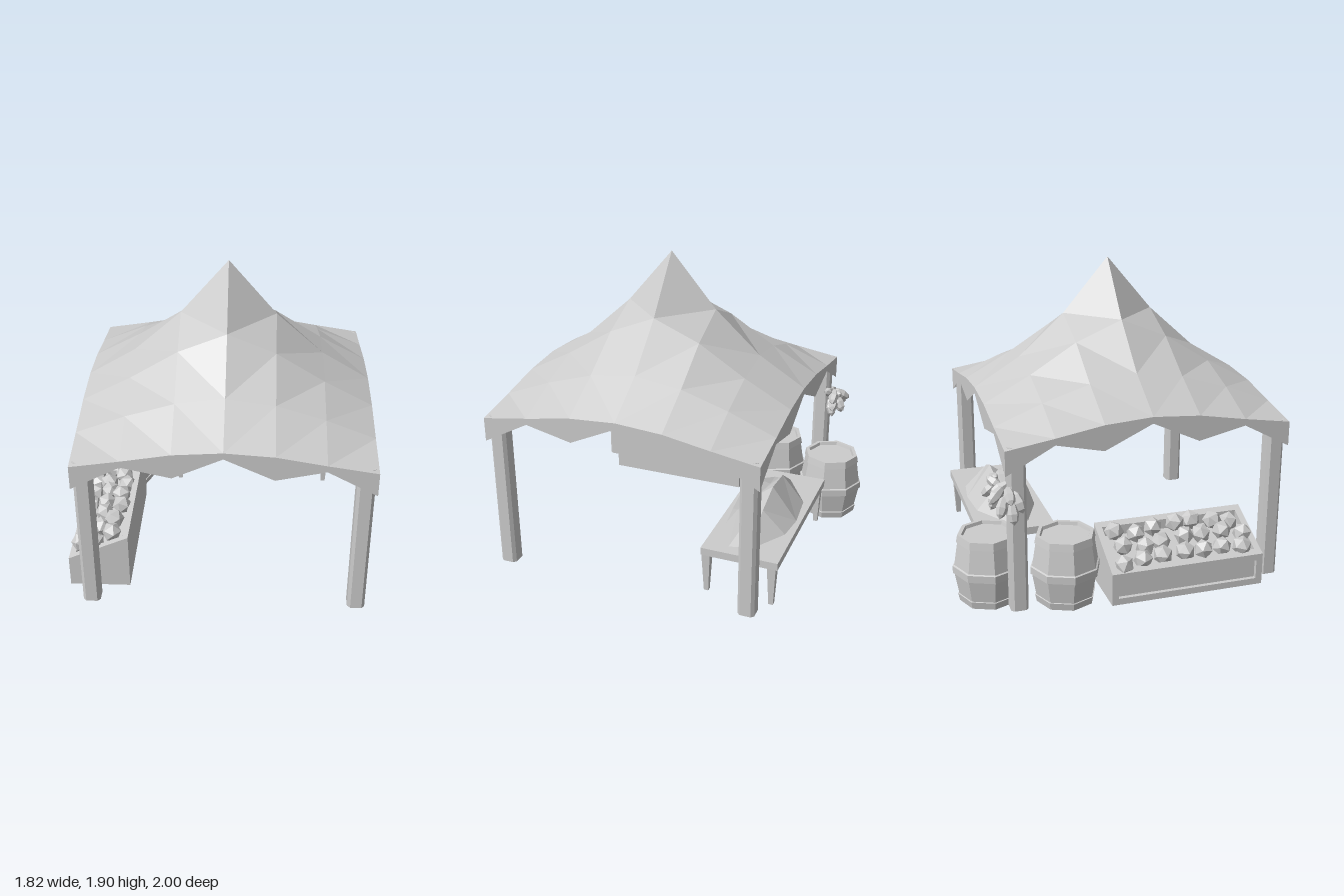
import * as THREE from 'three';

const mat = new THREE.MeshStandardMaterial({ color: 0xcccccc, flatShading: true });
const thin = new THREE.MeshStandardMaterial({ color: 0xcccccc, flatShading: true, side: THREE.DoubleSide });

function add(parent, name, geo, x = 0, y = 0, z = 0, material = mat) {
  const m = new THREE.Mesh(geo, material);
  m.name = name;
  m.position.set(x, y, z);
  parent.add(m);
  return m;
}

// Extrude a polygon; points are [x, y]
function prism(points, depth) {
  const s = new THREE.Shape(points.map(p => new THREE.Vector2(...p)));
  return new THREE.ExtrudeGeometry(s, { depth, bevelEnabled: false });
}

// Surface from rows of points, each quad split along its shorter diagonal
function sheet(rows) {
  const pos = [];
  const tri = (...ps) => ps.forEach(p => pos.push(p.x, p.y, p.z));
  for (let i = 0; i < rows.length - 1; i++) {
    for (let j = 0; j < rows[i].length - 1; j++) {
      const a = rows[i][j], b = rows[i + 1][j], c = rows[i + 1][j + 1], d = rows[i][j + 1];
      if (a.distanceTo(c) < b.distanceTo(d)) { tri(a, b, c); tri(a, c, d); }
      else { tri(a, b, d); tri(b, c, d); }
    }
  }
  const g = new THREE.BufferGeometry();
  g.setAttribute('position', new THREE.Float32BufferAttribute(pos, 3));
  g.computeVertexNormals();
  return g;
}

function seeded(seed) {
  return () => (seed = (seed * 16807) % 2147483647) / 2147483647;
}

const V = (x, y, z) => new THREE.Vector3(x, y, z);
const CX = 0.043, CZ = 0.136;

// Swept tent roof with a scalloped valance on all four sides
function buildCanopy(root) {
  const canopy = new THREE.Group();
  canopy.name = 'canopy';
  canopy.position.set(CX, 0, CZ);
  root.add(canopy);
  const step = 0.2883;
  // Heights by distance from the centre: [larger step][smaller step]
  const h = [[1.91], [1.57, 1.45], [1.31, 1.27, 1.18], [1.135, 1.115, 1.065, 1.02]];
  const drop = [0.04, 0.155, 0.04, 0.15];
  const k = [-3, -2, -1, 0, 1, 2, 3];
  const height = (i, j) => h[Math.max(Math.abs(i), Math.abs(j))][Math.min(Math.abs(i), Math.abs(j))];
  add(canopy, 'canopyRoof', sheet(k.map(j => k.map(i => V(i * step, height(i, j), j * step)))), 0, 0, 0, thin);
  const top = k.map(i => V(i * step, height(i, 3), 3 * step));
  const low = k.map((i, n) => V(i * step, top[n].y - drop[Math.abs(i)], 3 * step));
  const valance = sheet([top, low]);
  for (let s = 0; s < 4; s++) add(canopy, 'valance', valance, 0, 0, 0, thin).rotation.y = s * Math.PI / 2;
}

// Square posts with chamfered corners
function buildPosts(root) {
  const a = 0.052, b = 0.034;
  const geo = prism([[a, -b], [a, b], [b, a], [-b, a], [-a, b], [-a, -b], [-b, -a], [b, -a]], 1.01);
  geo.rotateX(-Math.PI / 2);
  for (const sx of [-1, 1]) for (const sz of [-1, 1]) add(root, 'post', geo, CX + sx * 0.8, 0.02, CZ + sz * 0.793);
}

function buildTable(root) {
  const table = new THREE.Group();
  table.name = 'table';
  root.add(table);
  add(table, 'tableTop', new THREE.BoxGeometry(1.085, 0.048, 0.48), 0.2, 0.296, -0.56);
  // Tapered legs
  const leg = new THREE.CylinderGeometry(0.038, 0.02, 0.262, 4);
  leg.rotateY(Math.PI / 4);
  for (const x of [-0.315, 0.708]) for (const z of [-0.35, -0.76]) add(table, 'tableLeg', leg, x, 0.144, z);
  // Rumpled cloth with two ridges and a valley between them
  const xs = [-0.26, 0, 0.24, 0.42, 0.67];
  const zs = [-0.77, -0.61, -0.52, -0.43, -0.35];
  const ys = [
    [0.32, 0.32, 0.32, 0.32, 0.32],
    [0.32, 0.49, 0.53, 0.46, 0.32],
    [0.32, 0.41, 0.46, 0.40, 0.33],
    [0.32, 0.43, 0.51, 0.43, 0.32],
    [0.32, 0.32, 0.32, 0.32, 0.32],
  ];
  const pinch = [0.6, 0.9, 1, 0.9, 0.65]; // narrower towards both ends
  const rows = zs.map((z, j) => xs.map((x, i) => V(x, ys[j][i], -0.55 + (z + 0.55) * pinch[i])));
  add(table, 'cloth', sheet(rows), 0, 0, 0, thin);
}

// Eight-sided barrels with raised hoops and sunken lids
function buildBarrels(root) {
  const profile = [
    [0, 0.02], [0.15, 0.02], [0.155, 0.005], [0.178, 0.005], [0.187, 0.05], [0.18, 0.052],
    [0.203, 0.185], [0.213, 0.19], [0.213, 0.235], [0.203, 0.24],
    [0.18, 0.382], [0.187, 0.385], [0.178, 0.43], [0.155, 0.43], [0.15, 0.41], [0, 0.41],
  ].map(p => new THREE.Vector2(...p));
  const geo = new THREE.LatheGeometry(profile, 8);
  add(root, 'barrel', geo, -0.55, 0, -0.79);
  add(root, 'barrel', geo, -0.695, 0, -0.355);
}

// Sloped display crate: solid ends, with a tray and a side recess between them
function buildCrate(root) {
  const crate = new THREE.Group();
  crate.name = 'crate';
  root.add(crate);
  const end = prism([[-0.91, 0.02], [-0.54, 0.02], [-0.54, 0.39], [-0.91, 0.22]], 0.04);
  add(crate, 'crateEnd', end, 0, 0, -0.13);
  add(crate, 'crateEnd', end, 0, 0, 0.79);
  add(crate, 'crateBody', prism([
    [-0.91, 0.02], [-0.54, 0.02], [-0.54, 0.39], [-0.58, 0.372], [-0.58, 0.31], [-0.87, 0.18],
    [-0.87, 0.238], [-0.91, 0.22], [-0.91, 0.18], [-0.885, 0.18], [-0.885, 0.06], [-0.91, 0.06],
  ], 0.88), 0, 0, -0.09);
  // Round produce in loose rows on the slope
  const rnd = seeded(77);
  const ball = new THREE.IcosahedronGeometry(0.062, 0);
  for (let r = 0; r < 7; r++) {
    for (let c = 0; c < 3; c++) {
      const x = -0.835 + c * 0.1 + (rnd() - 0.5) * 0.04;
      const z = -0.03 + r * 0.125 + (c % 2) * 0.03 + (rnd() - 0.5) * 0.03;
      const y = 0.235 + (x + 0.87) * 0.45 + rnd() * 0.03;
      add(crate, 'produce', ball, x, y, z).rotation.set(rnd() * 3, rnd() * 3, rnd() * 3);
    }
  }
}

// Bunch of pointed fruit hung around the back corner post: [centre, direction]
function buildBunch(root) {
  const bunch = new THREE.Group();
  bunch.name = 'hangingBunch';
  root.add(bunch);
  const geo = new THREE.LatheGeometry([
    [0, -0.068], [0.022, -0.045], [0.034, 0.005], [0.024, 0.045], [0, 0.068],
  ].map(p => new THREE.Vector2(...p)), 6);
  const fruit = [
    [-0.87, 0.67, -0.70, -0.4, -1, 0], [-0.86, 0.71, -0.76, -0.6, -1, -0.4], [-0.84, 0.72, -0.66, -0.5, -1, 0.3],
    [-0.81, 0.70, -0.73, -0.2, -1, -0.3], [-0.80, 0.76, -0.78, -0.5, -0.6, -0.8], [-0.83, 0.76, -0.71, -1, -0.6, 0],
    [-0.74, 0.71, -0.77, 0, -1, -0.5], [-0.70, 0.79, -0.76, 0.6, 0.5, -0.7], [-0.73, 0.77, -0.74, 0, -0.5, -1],
    [-0.67, 0.71, -0.74, 0.5, -1, -0.3], [-0.64, 0.75, -0.76, 1, -0.5, -0.2], [-0.645, 0.80, -0.76, 1, -0.5, -0.1],
    [-0.68, 0.81, -0.72, 0.8, 0.5, 0], [-0.68, 0.75, -0.79, 0.4, -0.7, -0.6],
  ];
  for (const [x, y, z, dx, dy, dz] of fruit) {
    add(bunch, 'fruit', geo, x, y, z).quaternion.setFromUnitVectors(V(0, 1, 0), V(dx, dy, dz).normalize());
  }
}

export function createModel() {
  const root = new THREE.Group();
  root.name = 'marketStall';
  buildCanopy(root);
  buildPosts(root);
  buildTable(root);
  buildBarrels(root);
  buildCrate(root);
  buildBunch(root);
  return root;
}
